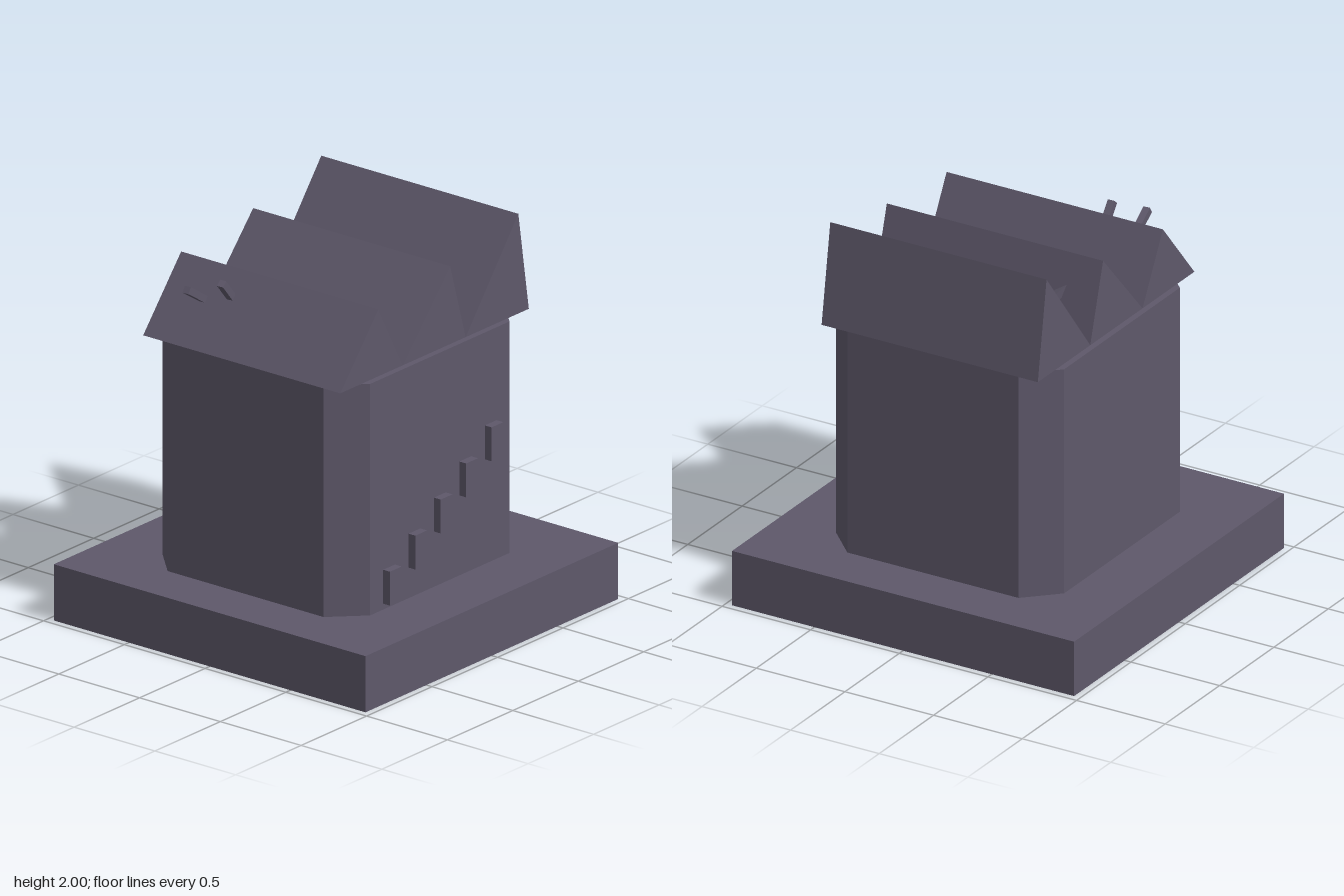
import * as THREE from 'three';

export function createModel() {
  const group = new THREE.Group();
  const stone = new THREE.MeshStandardMaterial({ color: 0x5e586a });
  stone.name = 'slate stone';

  const add = (name, geometry, x = 0, y = 0, z = 0) => {
    const mesh = new THREE.Mesh(geometry, stone);
    mesh.name = name;
    mesh.position.set(x, y, z);
    group.add(mesh);
    return mesh;
  };
  const prism = (points, depth) => new THREE.ExtrudeGeometry(
    new THREE.Shape(points.map(([x, y]) => new THREE.Vector2(x, y))),
    { depth, bevelEnabled: false });

  // Square plinth
  add('plinth', new THREE.BoxGeometry(1.93, 0.29, 1.93), 0, 0.145, 0);

  // Tower body with chamfered corners
  const X = 0.69, Z = 0.643, cx = 0.532, cz = 0.483;
  const body = prism([
    [X, -cz], [X, cz], [cx, Z], [-cx, Z], [-X, cz], [-X, -cz], [-cx, -Z], [cx, -Z],
  ], 1.195);
  body.rotateX(-Math.PI / 2);
  add('body', body, 0, 0.29, 0);

  // Three lopsided roof ridges: left eave, peak x, peak y, right eave
  [[-0.72, -0.43, 1.83, -0.243], [-0.243, 0.12, 1.887, 0.238], [0.238, 0.64, 2, 0.72]]
    .forEach(([a, px, py, b], i) => {
      add(`roofRidge${i + 1}`, prism([[a, 1.485], [b, 1.485], [px, py]], 1.22), 0, 0, -0.61);
    });

  // Steps climbing the front wall
  for (let i = 0; i < 5; i++) {
    add(`wallStep${i + 1}`, new THREE.BoxGeometry(0.09, 0.175, 0.05),
      -0.388 + i * 0.194, 0.408 + i * 0.1275, 0.66);
  }

  // Beams stuck through the roof
  const beam = (name, from, to, size) => {
    const a = new THREE.Vector3(...from), b = new THREE.Vector3(...to);
    const mesh = add(name, new THREE.BoxGeometry(size, size, a.distanceTo(b)));
    mesh.position.copy(a).add(b).multiplyScalar(0.5);
    mesh.lookAt(b);
  };
  beam('longBeam', [-0.69, 1.77, -0.365], [-0.25, 1.49, -0.385], 0.036);
  beam('shortBeam', [-0.602, 1.812, -0.22], [-0.36, 1.53, -0.235], 0.036);
  beam('valleyBeam', [0.13, 1.735, -0.44], [0.33, 1.525, -0.26], 0.036);

  return group;
}
